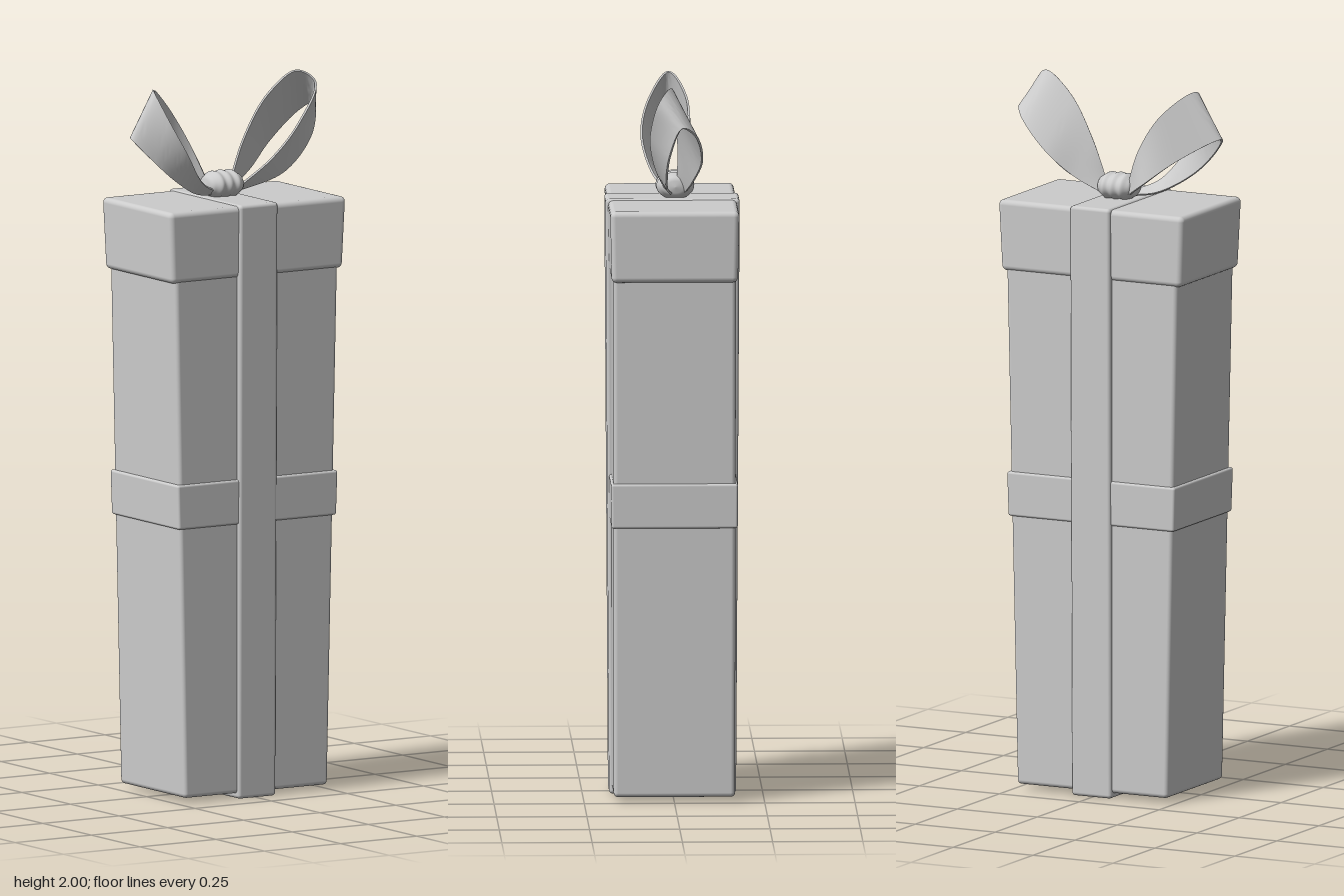
import * as THREE from 'three';
import { RoundedBoxGeometry } from 'three/addons/geometries/RoundedBoxGeometry.js';
import { toCreasedNormals } from 'three/addons/utils/BufferGeometryUtils.js';

const material = new THREE.MeshStandardMaterial({ color: 0xcccccc });
const ribbonMaterial = new THREE.MeshStandardMaterial({ color: 0xcccccc, side: THREE.DoubleSide });

function addMesh(group, name, geometry, mat = material) {
  const mesh = new THREE.Mesh(geometry, mat);
  mesh.name = name;
  group.add(mesh);
  return mesh;
}

// Rounded box between y0 and y1 whose half width and half depth change from bottom to top
function taperedBox(y0, y1, [wx0, wz0], [wx1, wz1], radius, cx = 0.004) {
  const h = y1 - y0;
  const geo = new RoundedBoxGeometry(wx1 * 2, h, wz1 * 2, 3, radius);
  const p = geo.attributes.position;
  for (let i = 0; i < p.count; i++) {
    const t = p.getY(i) / h + 0.5;
    p.setXYZ(i,
      cx + p.getX(i) * THREE.MathUtils.lerp(wx0 / wx1, 1, t),
      y0 + t * h,
      p.getZ(i) * THREE.MathUtils.lerp(wz0 / wz1, 1, t));
  }
  return geo;
}

// Closed strip of cloth stretched between two edge curves, with a little thickness
function ribbonStrip(edgeA, edgeB, steps = 72, across = 6, thickness = 0.006) {
  const curve = (pts) => new THREE.CatmullRomCurve3(pts.map((p) => new THREE.Vector3(...p)));
  const a = curve(edgeA), b = curve(edgeB);
  const ring = (across + 1) * 2;
  const positions = [], index = [];
  for (let i = 0; i <= steps; i++) {
    const u = i / steps;
    const pa = a.getPoint(u), pb = b.getPoint(u);
    const along = a.getTangent(u).add(b.getTangent(u));
    const normal = along.cross(pb.clone().sub(pa)).normalize();
    for (let j = 0; j < ring; j++) {
      const front = j <= across;
      const v = (front ? j : ring - 1 - j) / across;
      const offset = (front ? 0.5 : -0.5) * thickness;
      const q = pa.clone().lerp(pb, v).addScaledVector(normal, offset);
      positions.push(q.x, q.y, q.z);
    }
  }
  for (let i = 0; i < steps; i++) {
    for (let j = 0; j < ring; j++) {
      const k = (j + 1) % ring;
      const p = i * ring + j, q = i * ring + k;
      index.push(p, p + ring, q, q, p + ring, q + ring);
    }
  }
  const geo = new THREE.BufferGeometry();
  geo.setAttribute('position', new THREE.Float32BufferAttribute(positions, 3));
  geo.setIndex(index);
  return toCreasedNormals(geo, 0.8);
}

// Gathered knot: a ridged barrel lying along x
function knotGeometry() {
  const profile = [];
  const n = 40;
  for (let i = 0; i <= n; i++) {
    const t = (i / n) * 2 - 1;
    const r = Math.pow(1 - Math.pow(Math.abs(t), 4), 0.5) * (0.95 + 0.045 * Math.cos(t * 13));
    profile.push(new THREE.Vector2(Math.max(r, 0), t));
  }
  const geo = new THREE.LatheGeometry(profile, 40);
  geo.rotateZ(-Math.PI / 2);
  geo.scale(0.058, 0.039, 0.054);
  return geo;
}

export function createModel() {
  const model = new THREE.Group();
  model.name = 'giftBox';

  // Box, lid and the two wrapping ribbons
  addMesh(model, 'box', taperedBox(0.015, 1.5, [0.235, 0.168], [0.268, 0.17], 0.012));
  addMesh(model, 'lid', taperedBox(1.46, 1.66, [0.281, 0.175], [0.29, 0.179], 0.015));
  addMesh(model, 'horizontalRibbon', taperedBox(0.77, 0.895, [0.259, 0.175], [0.263, 0.176], 0.007));
  addMesh(model, 'verticalRibbon', taperedBox(0, 1.664, [0.062, 0.176], [0.063, 0.186], 0.01, 0.002));

  // Bow on top: knot plus two twisted loops
  const bow = new THREE.Group();
  bow.name = 'bow';
  model.add(bow);
  addMesh(bow, 'knot', knotGeometry()).position.set(0.002, 1.696, -0.008);

  addMesh(bow, 'rightLoop', ribbonStrip(
    [[-0.03, 1.69, -0.02], [-0.08, 1.81, -0.045], [-0.15, 1.915, -0.045], [-0.23, 1.978, 0.005],
      [-0.215, 1.9, 0.06], [-0.17, 1.81, 0.08], [-0.1, 1.715, 0.052], [-0.03, 1.68, 0.015]],
    [[-0.03, 1.67, -0.03], [-0.1, 1.715, -0.068], [-0.2, 1.79, -0.045], [-0.308, 1.85, 0.01],
      [-0.25, 1.78, 0.045], [-0.18, 1.722, 0.045], [-0.1, 1.68, 0.02], [-0.03, 1.67, 0]]
  ), ribbonMaterial);

  addMesh(bow, 'leftLoop', ribbonStrip(
    [[0.03, 1.69, -0.015], [0.08, 1.82, -0.015], [0.15, 1.935, -0.005], [0.235, 1.997, 0.012],
      [0.277, 1.965, 0.042], [0.21, 1.86, 0.064], [0.13, 1.765, 0.05], [0.03, 1.68, 0.015]],
    [[0.03, 1.67, -0.03], [0.12, 1.72, -0.055], [0.2, 1.79, -0.078], [0.28, 1.87, -0.058],
      [0.308, 1.895, -0.02], [0.285, 1.82, 0.012], [0.19, 1.72, 0.02], [0.03, 1.67, 0]]
  ), ribbonMaterial);

  return model;
}
